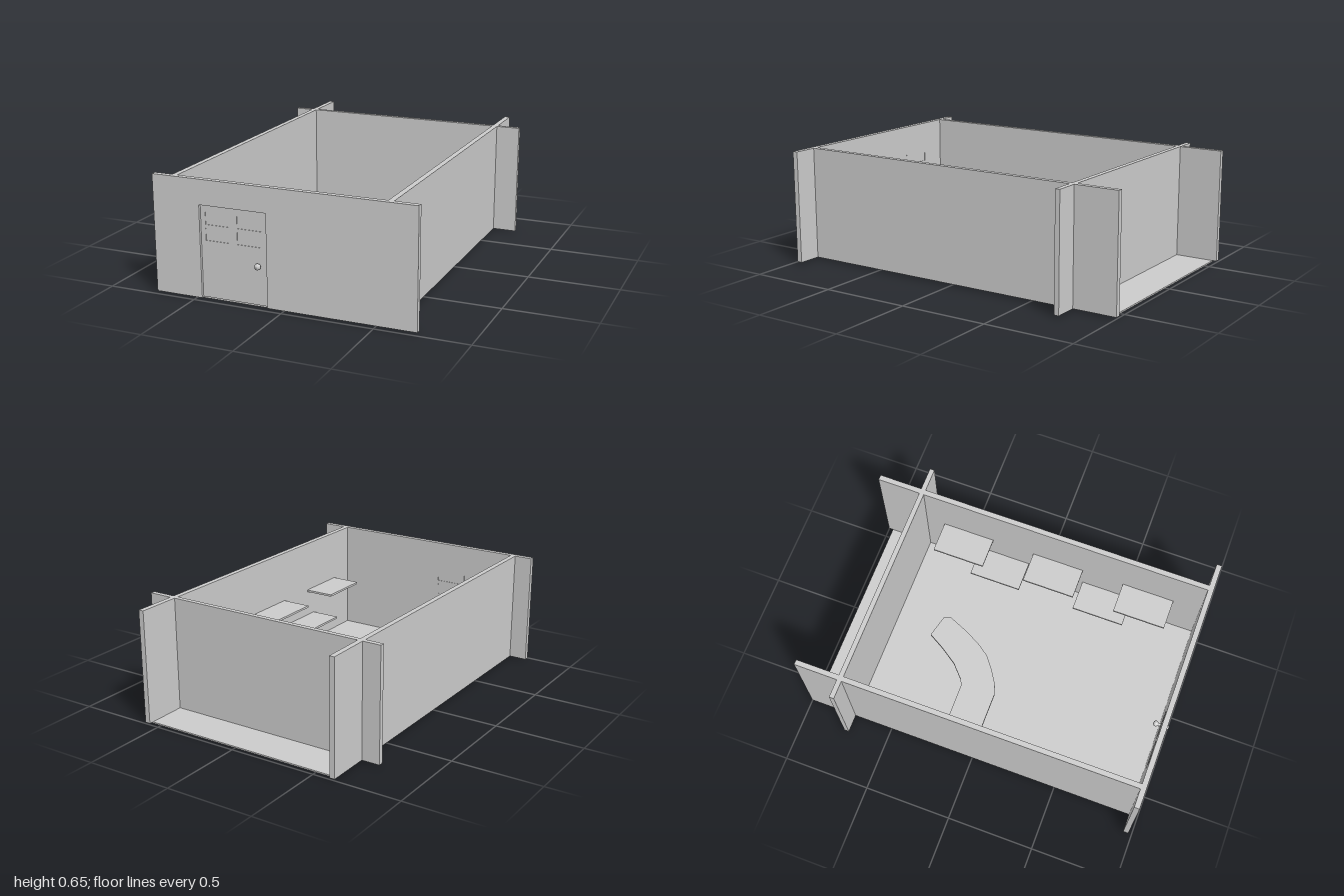
import * as THREE from 'three';

const material = new THREE.MeshStandardMaterial({ color: 0xcccccc });

function add(parent, name, geometry) {
  const mesh = new THREE.Mesh(geometry, material);
  mesh.name = name;
  parent.add(mesh);
  return mesh;
}

// Box given by its minimum and maximum on each axis
function box(parent, name, [x0, x1], [y0, y1], [z0, z1]) {
  const mesh = add(parent, name, new THREE.BoxGeometry(x1 - x0, y1 - y0, z1 - z0));
  mesh.position.set((x0 + x1) / 2, (y0 + y1) / 2, (z0 + z1) / 2);
  return mesh;
}

const outline = (points) => points.map(([x, y]) => new THREE.Vector2(x, y));
const extrude = (shape, depth) => new THREE.ExtrudeGeometry(shape, { depth, bevelEnabled: false });

export function createModel() {
  const model = new THREE.Group();
  const bottom = 0.008, top = 0.645;
  const wallY = [bottom, top];

  // Floor and plain walls
  box(model, 'floor', [-0.6, 0.56], [0, bottom], [-0.975, 0.955]);
  box(model, 'rightWall', [-0.627, -0.598], wallY, [-1, 0.95]);
  box(model, 'leftWall', [0.555, 0.585], wallY, [-1, 0.95]);
  box(model, 'backWall', [-0.73, 0.72], wallY, [-0.752, -0.725]);

  // Front wall with a doorway notch
  const doorL = -0.462, doorR = -0.085, doorTop = 0.51;
  const wall = new THREE.Shape(outline([
    [-0.73, bottom], [doorL, bottom], [doorL, doorTop], [doorR, doorTop],
    [doorR, bottom], [0.72, bottom], [0.72, top], [-0.73, top],
  ]));
  add(model, 'frontWall', extrude(wall, 0.03)).position.z = 0.95;

  // Door set back in the doorway, with four window panes
  const door = new THREE.Group();
  door.name = 'door';
  model.add(door);
  const leaf = new THREE.Shape(outline([
    [doorL, 0.012], [doorR, 0.012], [doorR, doorTop], [doorL, doorTop],
  ]));
  for (const [x0, x1] of [[-0.435, -0.295], [-0.255, -0.115]]) {
    for (const [y0, y1] of [[0.32, 0.385], [0.405, 0.47]]) {
      leaf.holes.push(new THREE.Path(outline([[x0, y0], [x0, y1], [x1, y1], [x1, y0]])));
      box(door, 'windowPane', [x0, x1], [y0, y1], [0.953, 0.962]);
    }
  }
  add(door, 'doorLeaf', extrude(leaf, 0.015)).position.z = 0.95;

  // Door knobs on both faces
  const knobProfile = outline([
    [0, 0], [0.008, 0], [0.006, 0.01], [0.012, 0.014], [0.017, 0.024],
    [0.016, 0.032], [0.01, 0.039], [0, 0.041],
  ]);
  for (const side of [1, -1]) {
    const knob = add(door, side > 0 ? 'outerKnob' : 'innerKnob', new THREE.LatheGeometry(knobProfile, 20));
    knob.rotation.x = side * Math.PI / 2;
    knob.position.set(-0.133, 0.225, side > 0 ? 0.959 : 0.95);
  }

  // Curved counter slab (plan points are x, z)
  const plan = [
    [-0.6, 0], [-0.257, 0], [-0.198, -0.02], [-0.12, -0.07], [-0.05, -0.125],
    [0.003, -0.2], [0.056, -0.305], [0.1, -0.41], [0.087, -0.447], [-0.042, -0.48],
    [-0.093, -0.39], [-0.16, -0.29], [-0.235, -0.22], [-0.272, -0.2], [-0.6, -0.2],
  ];
  const counter = add(model, 'counter', extrude(new THREE.Shape(outline(plan.map(([x, z]) => [x, -z]))), 0.018));
  counter.rotation.x = -Math.PI / 2;
  counter.position.y = 0.1;

  // Staggered shelves along the left wall: start z and top height
  for (const [z, y] of [[-0.614, 0.348], [-0.39, 0.185], [-0.061, 0.348], [0.251, 0.185], [0.487, 0.348]]) {
    box(model, 'shelf', [0.38, 0.555], [y - 0.012, y], [z, z + 0.304]);
  }

  return model;
}
